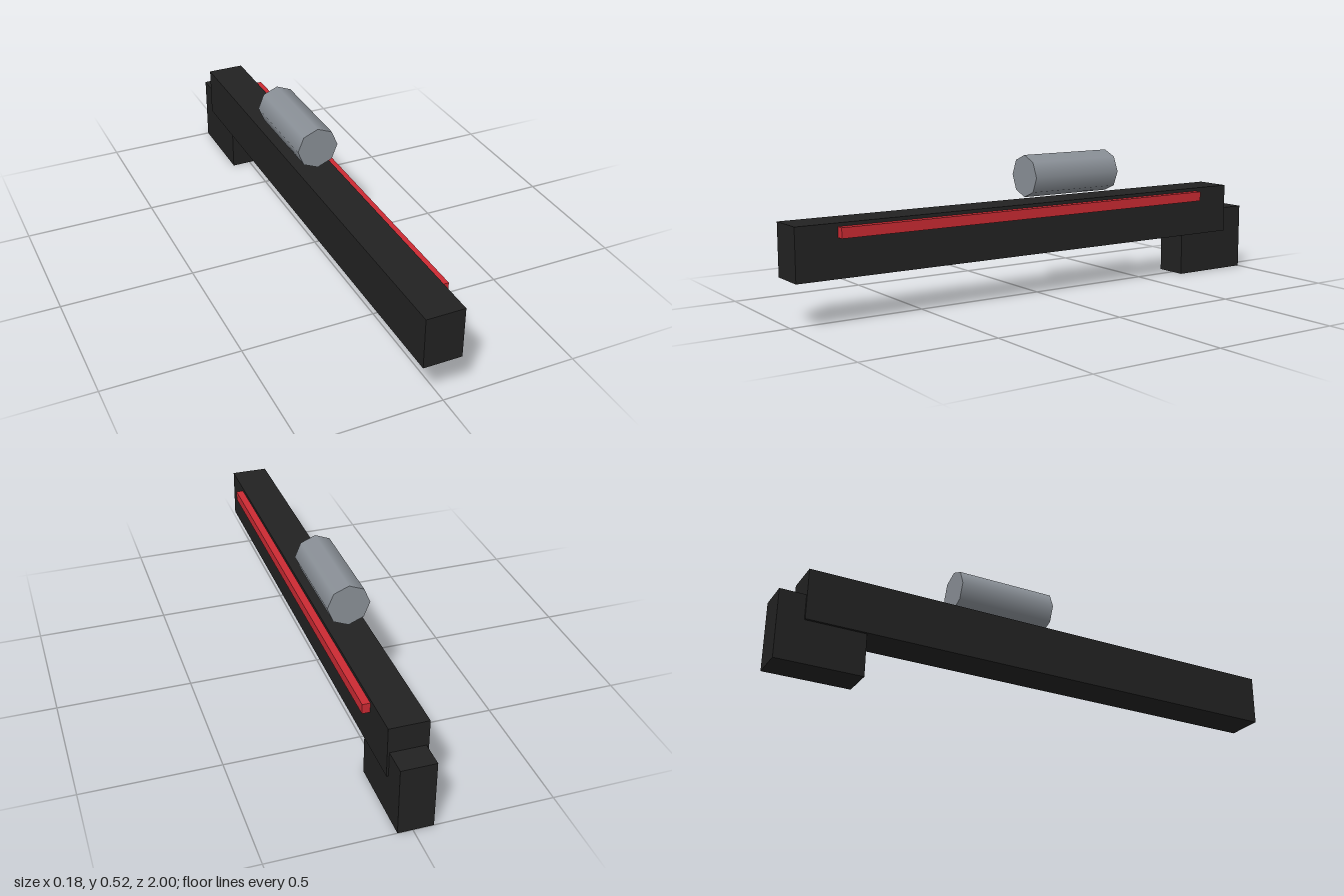
import * as THREE from 'three';

const black = new THREE.MeshStandardMaterial({ name: 'black', color: 0x222222 });
const red = new THREE.MeshStandardMaterial({ name: 'red', color: 0xcc2a33 });
const grey = new THREE.MeshStandardMaterial({ name: 'grey', color: 0x8a9097 });

// Box given by its lower and upper limits on each axis
function box(name, material, [x0, x1], [y0, y1], [z0, z1]) {
  const mesh = new THREE.Mesh(new THREE.BoxGeometry(x1 - x0, y1 - y0, z1 - z0), material);
  mesh.position.set((x0 + x1) / 2, (y0 + y1) / 2, (z0 + z1) / 2);
  mesh.name = name;
  return mesh;
}

export function createModel() {
  const model = new THREE.Group();
  model.name = 'model';

  // Long main beam, rear grip block and side stripe rail
  model.add(
    box('body', black, [-0.082, 0.06], [0.16, 0.35], [-0.905, 1]),
    box('rearGrip', black, [-0.073, 0.053], [0, 0.255], [-1, -0.68]),
    box('sideRail', red, [0.06, 0.088], [0.3, 0.337], [-0.745, 0.845]),
  );

  // Eight-sided scope floating above the beam, a corner pointing up
  const scopeGeometry = new THREE.CylinderGeometry(0.079, 0.079, 0.38, 8);
  scopeGeometry.rotateX(Math.PI / 2);
  const scope = new THREE.Mesh(scopeGeometry, grey);
  scope.name = 'scope';
  scope.position.set(-0.01, 0.445, -0.14);
  model.add(scope);

  return model;
}
